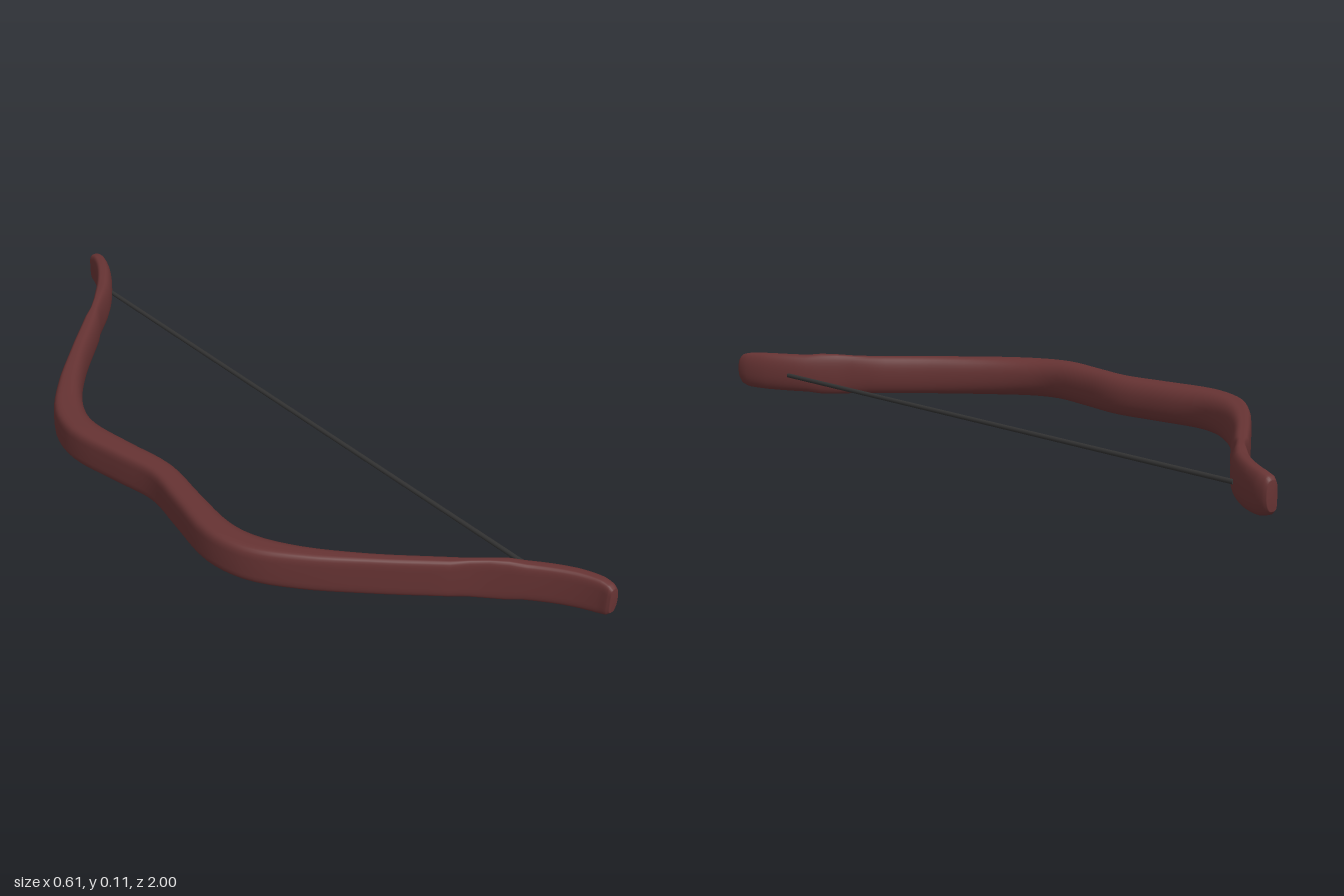
import * as THREE from 'three';

// Stations from grip to limb tip: z, x, centre height, half thickness, half width
const half = [
  [0, -0.223, 0.061, 0.037, 0.05],
  [0.13, -0.243, 0.06, 0.039, 0.05],
  [0.27, -0.262, 0.059, 0.043, 0.05],
  [0.36, -0.242, 0.057, 0.042, 0.05],
  [0.46, -0.177, 0.055, 0.032, 0.051],
  [0.58, -0.065, 0.054, 0.023, 0.051],
  [0.7, 0.065, 0.054, 0.021, 0.051],
  [0.82, 0.19, 0.056, 0.021, 0.051],
  [0.91, 0.256, 0.058, 0.021, 0.05],
  [0.965, 0.281, 0.058, 0.02, 0.047],
  [0.99, 0.285, 0.058, 0.018, 0.041],
  [1, 0.286, 0.058, 0.014, 0.032],
];
const stations = [
  ...half.slice(1).reverse().map(([z, ...rest]) => [-z, ...rest]),
  ...half,
];

// D-shaped section: flat back with rounded corners, elliptical belly
function section(sides) {
  const power = (v, e) => Math.sign(v) * Math.abs(v) ** e;
  return Array.from({ length: sides }, (_, j) => {
    const a = (j / sides) * Math.PI * 2;
    const e = Math.cos(a) < 0 ? 0.45 : 0.9;
    return [power(Math.cos(a), e), power(Math.sin(a), e)];
  });
}

function bowGeometry() {
  const path = new THREE.CatmullRomCurve3(stations.map(([z, x, y]) => new THREE.Vector3(x, y, z)));
  const size = new THREE.CatmullRomCurve3(stations.map(([, , , t, h]) => new THREE.Vector3(t, h, 0)));
  const steps = (stations.length - 1) * 4;
  const profile = section(32);
  const n = profile.length;
  const positions = [];
  const index = [];

  // Sweep the section along the limbs
  for (let i = 0; i <= steps; i++) {
    const c = path.getPoint(i / steps);
    const s = size.getPoint(i / steps);
    const t = path.getTangent(i / steps);
    const flat = Math.hypot(t.x, t.z);
    for (const [u, v] of profile) {
      positions.push(c.x + (t.z / flat) * u * s.x, c.y + v * s.y, c.z - (t.x / flat) * u * s.x);
    }
    if (i === steps) break;
    for (let j = 0; j < n; j++) {
      const a = i * n + j;
      const b = i * n + ((j + 1) % n);
      index.push(a, b, a + n, b, b + n, a + n);
    }
  }

  // Close both tips
  for (const end of [0, steps]) {
    const c = path.getPoint(end / steps);
    const centre = positions.length / 3;
    positions.push(c.x, c.y, c.z);
    for (let j = 0; j < n; j++) {
      const a = end * n + j;
      const b = end * n + ((j + 1) % n);
      if (end === 0) index.push(centre, b, a);
      else index.push(centre, a, b);
    }
  }

  const geometry = new THREE.BufferGeometry();
  geometry.setAttribute('position', new THREE.Float32BufferAttribute(positions, 3));
  geometry.setIndex(index);
  geometry.computeVertexNormals();
  return geometry;
}

export function createModel() {
  const group = new THREE.Group();
  group.name = 'bow';

  const limbs = new THREE.Mesh(bowGeometry(), new THREE.MeshStandardMaterial({ color: 0x663333 }));
  limbs.name = 'bowLimbs';
  group.add(limbs);

  // String stretched between the limbs
  const string = new THREE.Mesh(
    new THREE.CylinderGeometry(0.006, 0.006, 1.69, 10),
    new THREE.MeshStandardMaterial({ color: 0x333333 }),
  );
  string.name = 'bowString';
  string.rotation.x = Math.PI / 2;
  string.position.set(0.235, 0.052, 0);
  group.add(string);

  return group;
}
